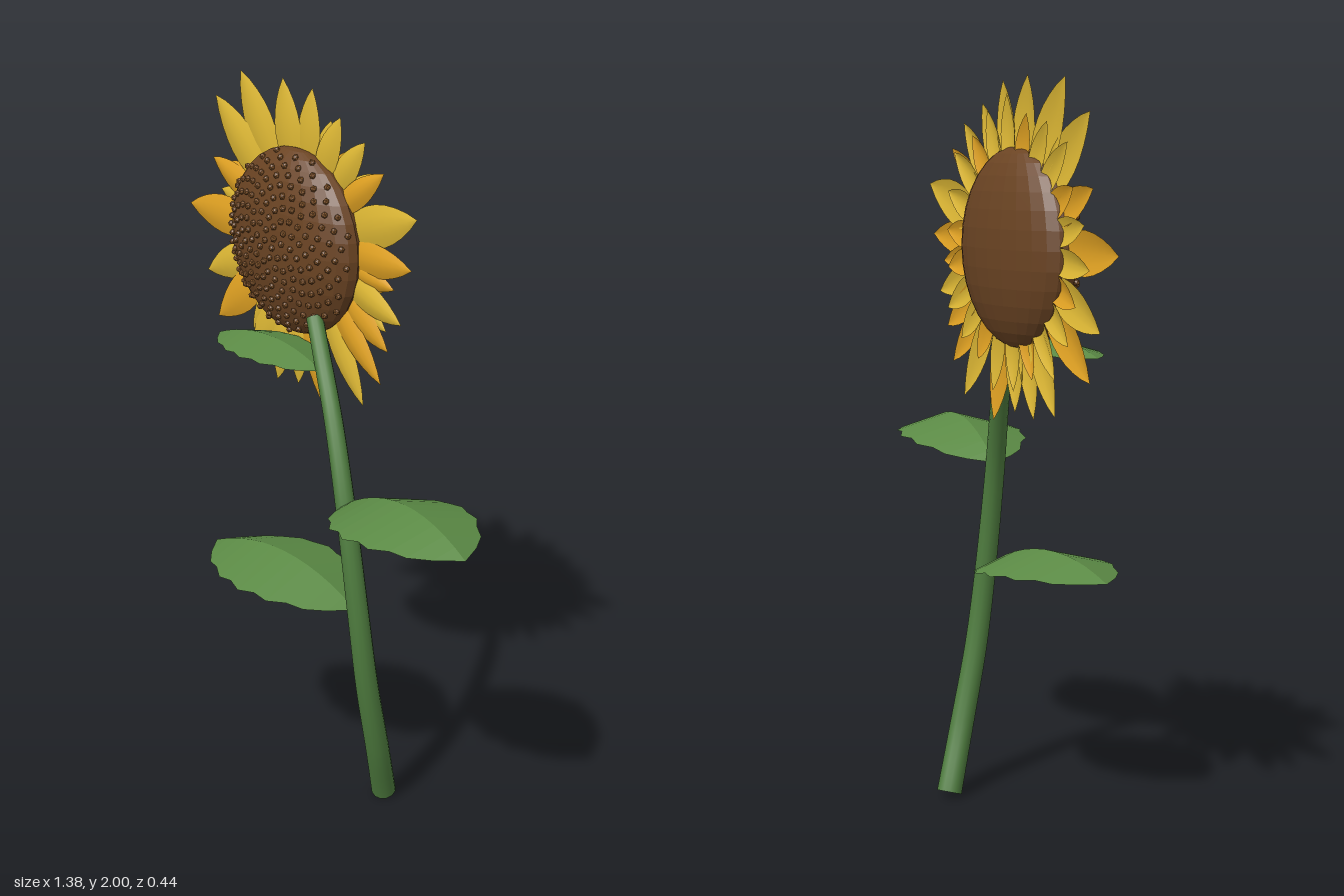
import * as THREE from 'three';
import { mergeGeometries } from 'three/addons/utils/BufferGeometryUtils.js';

const mat = (name, color, side = THREE.FrontSide) => {
  const m = new THREE.MeshStandardMaterial({ color, side });
  m.name = name;
  return m;
};

// Grid surface from fn(t, u) with t in 0..1 and u in -1..1
function surface(nt, nu, fn, faceted) {
  const pos = [], idx = [];
  for (let i = 0; i <= nt; i++)
    for (let j = 0; j <= nu; j++) pos.push(...fn(i / nt, (2 * j) / nu - 1));
  for (let i = 0; i < nt; i++)
    for (let j = 0; j < nu; j++) {
      const a = i * (nu + 1) + j, b = a + nu + 1;
      idx.push(a, a + 1, b, b, a + 1, b + 1);
    }
  let g = new THREE.BufferGeometry();
  g.setAttribute('position', new THREE.Float32BufferAttribute(pos, 3));
  g.setIndex(idx);
  if (faceted) g = g.toNonIndexed();
  g.computeVertexNormals();
  return g;
}

// Arched leaf with a jagged rim, drooping away from its midrib
function leafGeometry(base, tip, halfWidth, arch, droop) {
  const along = tip.clone().sub(base);
  const side = new THREE.Vector3(-along.z, 0, along.x).normalize();
  if (along.x < 0) side.negate(); // keeps the upper face on the +y side
  const n = 12;
  return surface(n, 2, (t, u) => {
    const jag = Math.round(t * n) % 2 ? 0.95 : 1.03;
    const w = Math.pow(Math.max(0, Math.sin(Math.PI * t)), 0.7) * jag;
    const p = base.clone().addScaledVector(along, t).addScaledVector(side, u * w * halfWidth);
    p.y += arch * 4 * t * (1 - t) - droop * Math.abs(u) * w;
    return [p.x, p.y, p.z];
  }, true);
}

// Pointed, slightly cupped petal running along +x from the head
function petalGeometry(start, end, halfWidth) {
  return surface(8, 4, (t, u) => {
    const w = halfWidth * Math.pow(Math.sin(Math.PI * (0.12 + 0.88 * t)), 0.85);
    const edge = t === 1 ? 0 : w;
    return [start + (end - start) * t, u * edge, 0.012 * (1 - u * u) * Math.sin(Math.PI * t)];
  });
}

export function createModel() {
  const root = new THREE.Group();
  root.name = 'sunflower';
  const stemGreen = mat('stem green', 0x4f7d3f);
  const leafGreen = mat('leaf green', 0x5b8a45, THREE.DoubleSide);
  const yellow = mat('petal yellow', 0xdfb935, THREE.DoubleSide);
  const orange = mat('petal orange', 0xe2a323, THREE.DoubleSide);
  const brown = mat('head brown', 0x6b4423);
  const seedBrown = mat('seed brown', 0x85572b);
  const add = (geo, material, name, parent = root) => {
    const m = new THREE.Mesh(geo, material);
    m.name = name;
    parent.add(m);
    return m;
  };
  const V = (x, y, z) => new THREE.Vector3(x, y, z);

  // Curved stem, tapering upwards
  const curve = new THREE.CatmullRomCurve3([
    V(0.185, 0.012, -0.137), V(0.222, 0.2, -0.075), V(0.235, 0.42, -0.022), V(0.225, 0.65, 0.005),
    V(0.178, 0.92, 0.008), V(0.085, 1.15, -0.025), V(-0.015, 1.31, -0.065), V(-0.07, 1.39, -0.088),
  ]);
  const rings = 36, sides = 12;
  const stem = new THREE.TubeGeometry(curve, rings, 1, sides);
  const sp = stem.attributes.position, v = new THREE.Vector3();
  for (let k = 0; k < sp.count; k++) {
    const t = Math.floor(k / (sides + 1)) / rings;
    const c = curve.getPointAt(t);
    v.fromBufferAttribute(sp, k).sub(c).multiplyScalar(0.035 - 0.012 * t).add(c);
    sp.setXYZ(k, v.x, v.y, v.z);
  }
  add(stem, stemGreen, 'stem');
  for (const [t, dir, r] of [[0, -1, 0.035], [1, 1, 0.023]]) {
    const cap = add(new THREE.CircleGeometry(r, sides), stemGreen, 'stemEnd');
    cap.position.copy(curve.getPointAt(t));
    cap.lookAt(cap.position.clone().addScaledVector(curve.getTangentAt(t), dir));
  }

  // Leaves
  add(leafGeometry(V(0.165, 0.95, 0), V(0.69, 1.0, 0.07), 0.18, 0.075, 0.05), leafGreen, 'leftLeaf');
  add(leafGeometry(V(0.21, 0.65, 0), V(-0.315, 0.69, 0.07), 0.18, 0.07, 0.05), leafGreen, 'rightLeaf');
  add(leafGeometry(V(0.01, 1.27, -0.045), V(-0.37, 1.29, 0.005), 0.113, 0.045, 0.032), leafGreen, 'upperLeaf');

  // Flower head: a faceted, flattened ball
  const flower = new THREE.Group();
  flower.name = 'flower';
  flower.position.set(-0.2, 1.565, -0.13);
  root.add(flower);
  const R = 0.256, D = 0.092;
  const ball = new THREE.SphereGeometry(1, 24, 16).scale(R, R, D).toNonIndexed();
  ball.computeVertexNormals();
  add(ball, brown, 'flowerHead', flower);

  // Seeds in a spiral over the front
  const seeds = [];
  for (let i = 0; i < 190; i++) {
    const r = 0.985 * Math.sqrt((i + 0.5) / 190), a = i * 2.39996;
    const s = new THREE.IcosahedronGeometry(0.0095, 0);
    s.rotateZ(a);
    s.translate(R * r * Math.cos(a), R * r * Math.sin(a), D * Math.sqrt(1 - r * r) + 0.002);
    seeds.push(s);
  }
  add(mergeGeometries(seeds), seedBrown, 'seeds', flower);

  // Outer petals: tip x, tip y, half width, orange or not
  const outer = [
    [-0.255, 0.42, 0.062, 0], [-0.065, 0.43, 0.055, 0], [0.05, 0.42, 0.046, 0], [0.17, 0.365, 0.042, 0],
    [0.26, 0.315, 0.04, 0], [0.34, 0.25, 0.036, 1], [0.46, 0.155, 0.058, 0], [0.45, 0.02, 0.046, 1],
    [0.38, -0.05, 0.032, 1], [0.415, -0.135, 0.042, 0], [0.36, -0.225, 0.042, 1], [0.34, -0.32, 0.042, 1],
    [0.265, -0.405, 0.045, 0], [0.115, -0.455, 0.052, 1], [-0.01, -0.42, 0.046, 0], [-0.095, -0.43, 0.046, 0],
    [-0.21, -0.41, 0.05, 0], [-0.365, -0.31, 0.055, 1], [-0.42, -0.185, 0.05, 0], [-0.49, 0, 0.057, 1],
    [-0.385, 0.155, 0.042, 1], [-0.36, 0.335, 0.058, 0],
  ];
  outer.forEach(([x, y, w, o], i) => {
    const p = add(petalGeometry(0.19, Math.hypot(x, y), w), o ? orange : yellow, 'outerPetal', flower);
    p.rotation.z = Math.atan2(y, x);
    p.position.z = -0.016 + 0.006 * (i % 2);
  });

  // Shorter petals filling the gaps behind
  for (let i = 0; i < 22; i++) {
    const p = add(petalGeometry(0.19, 0.345 + 0.02 * (i % 3), 0.036), i % 3 ? yellow : orange, 'innerPetal', flower);
    p.rotation.z = ((i + 0.35) / 22) * Math.PI * 2;
    p.position.z = -0.024;
  }
  return root;
}
